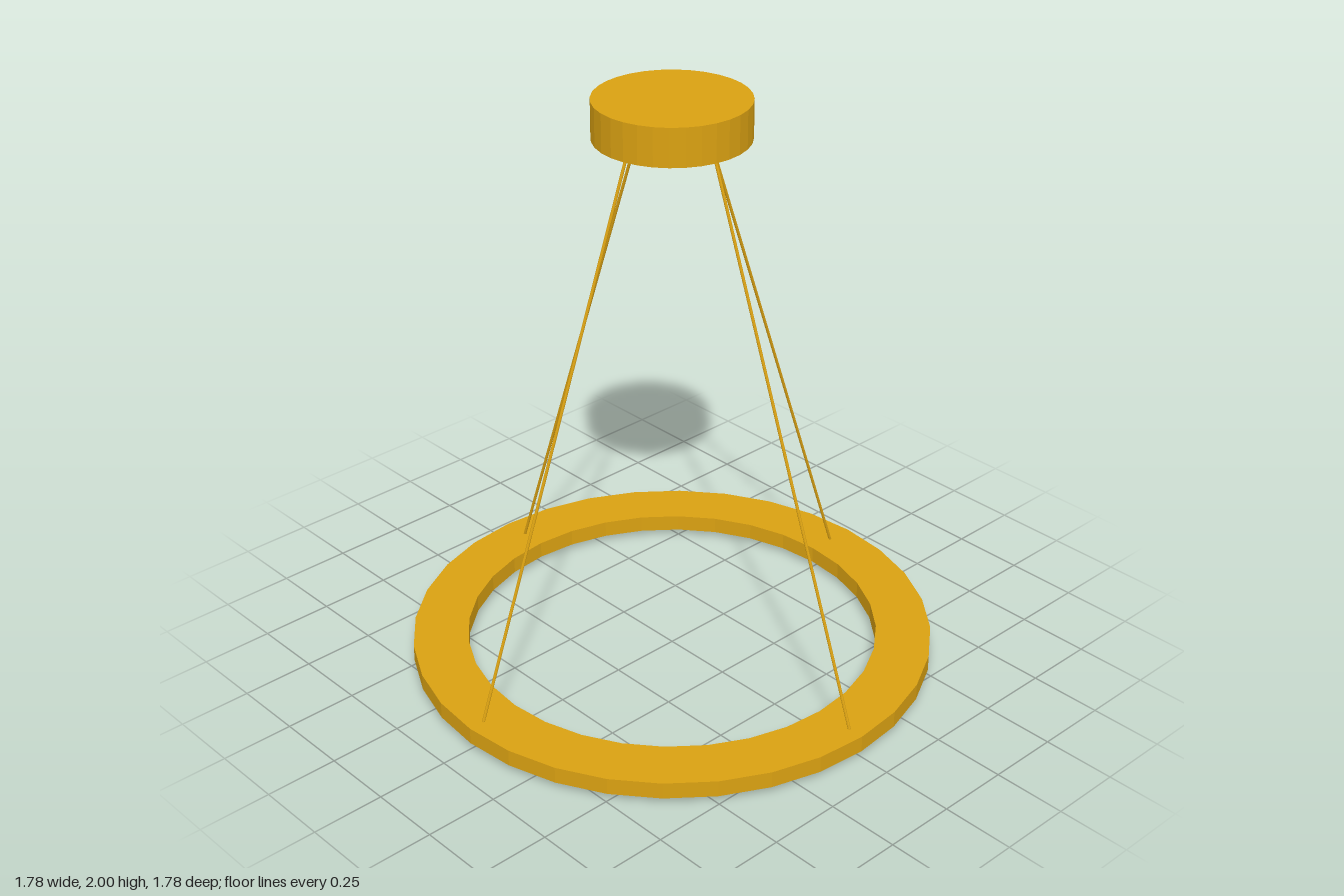
import * as THREE from 'three';

export function createModel() {
  const group = new THREE.Group();
  const gold = new THREE.MeshStandardMaterial({ color: 0xdaa112, flatShading: true });
  const grey = new THREE.MeshStandardMaterial({ color: 0xcccccc });

  const add = (name, geometry, material) => {
    const mesh = new THREE.Mesh(geometry, material);
    mesh.name = name;
    group.add(mesh);
    return mesh;
  };

  // Ceiling canopy
  add('canopy', new THREE.CylinderGeometry(0.252, 0.252, 0.128, 32), gold).position.y = 1.936;

  // Flat ring with a rectangular section
  const section = [[0.703, 0.022], [0.89, 0.022], [0.89, 0.08], [0.703, 0.08], [0.703, 0.022]];
  add('ring', new THREE.LatheGeometry(section.map(([r, y]) => new THREE.Vector2(r, y)), 32), gold);

  // Slanted suspension wires between ring and canopy
  const up = new THREE.Vector3(0, 1, 0);
  const addWire = (foot, head) => {
    const dir = head.clone().sub(foot);
    const wire = add('wire', new THREE.CylinderGeometry(0.005, 0.005, dir.length(), 8), gold);
    wire.position.copy(foot).add(head).multiplyScalar(0.5);
    wire.quaternion.setFromUnitVectors(up, dir.normalize());
  };
  for (const side of [-1, 1]) {
    const foot = 0.02 + side * 0.816, head = 0.02 + side * 0.162;
    addWire(new THREE.Vector3(foot, 0.075, 0), new THREE.Vector3(head, 1.88, 0));
    addWire(new THREE.Vector3(0, 0.075, foot), new THREE.Vector3(0, 1.88, head));
  }

  // Small studs under the ring
  for (const [x, z] of [[-0.793, 0], [0.735, 0], [-0.029, 0.764], [-0.029, -0.764]]) {
    add('stud', new THREE.CylinderGeometry(0.012, 0.012, 0.024, 16), grey).position.set(x, 0.012, z);
  }
  return group;
}
